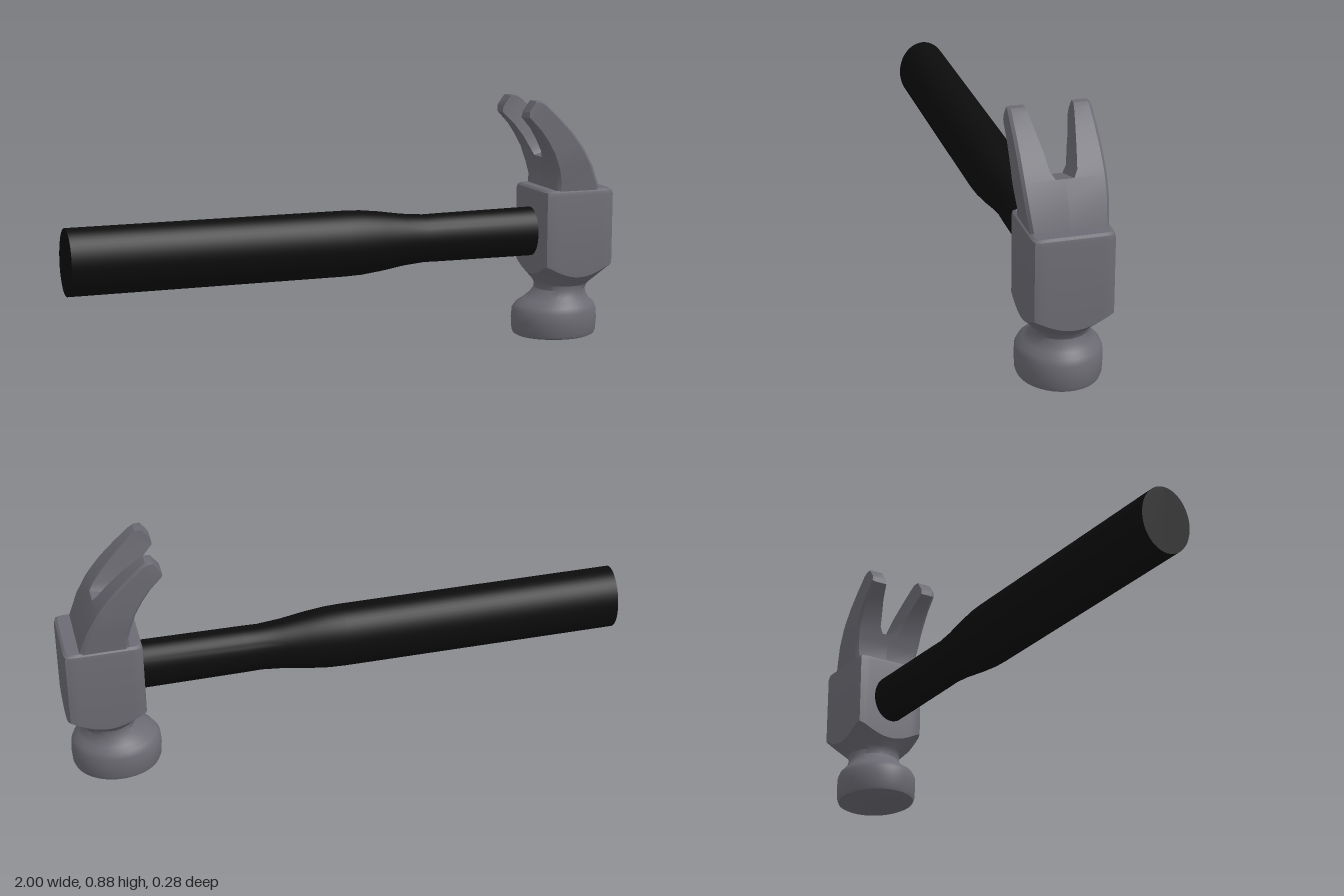
import * as THREE from 'three';
import { toCreasedNormals } from 'three/addons/utils/BufferGeometryUtils.js';

// Skin a list of rings (counterclockwise about the travel direction) and cap both ends
function loft(rings, crease) {
  const n = rings[0].length, index = [];
  const last = (rings.length - 1) * n;
  for (let i = 0; i < rings.length - 1; i++) {
    for (let k = 0; k < n; k++) {
      const a = i * n + k, b = i * n + (k + 1) % n;
      index.push(a, b, b + n, a, b + n, a + n);
    }
  }
  for (let k = 1; k < n - 1; k++) {
    index.push(0, k + 1, k, last, last + k, last + k + 1);
  }
  const g = new THREE.BufferGeometry();
  g.setAttribute('position', new THREE.Float32BufferAttribute(rings.flat(2), 3));
  g.setIndex(index);
  return toCreasedNormals(g, crease);
}

// Sample a closed ring by angle
const ring = (n, f) => Array.from({ length: n }, (_, k) => {
  const a = k / n * Math.PI * 2;
  return f(Math.cos(a), Math.sin(a));
});

export function createModel() {
  const group = new THREE.Group();
  const steel = new THREE.MeshStandardMaterial({ color: 0x6c6b73 });
  const grip = new THREE.MeshStandardMaterial({ color: 0x0c0c0c });
  const add = (name, geometry, material) => {
    const mesh = new THREE.Mesh(geometry, material);
    mesh.name = name;
    group.add(mesh);
  };

  // Handle: oval sections [x, half height, half depth]
  const sections = [
    [-1, 0.117, 0.093], [0, 0.117, 0.093], [0.06, 0.115, 0.091], [0.13, 0.107, 0.085],
    [0.22, 0.093, 0.074], [0.3, 0.086, 0.068], [0.36, 0.087, 0.069], [0.8, 0.09, 0.071],
  ];
  add('handle', loft(sections.map(([x, ry, rz]) =>
    ring(48, (c, s) => [x, 0.387 + ry * c, rz * s])), 0.6), grip);

  // Striking face and neck: round sections [y, centre x, radius x, radius z]
  const round = [
    [0, 0.825, 0.142, 0.125], [0.005, 0.825, 0.152, 0.135], [0.018, 0.825, 0.157, 0.14],
    [0.06, 0.825, 0.16, 0.142], [0.095, 0.825, 0.157, 0.141], [0.115, 0.828, 0.146, 0.133],
    [0.132, 0.833, 0.123, 0.115], [0.15, 0.84, 0.104, 0.103], [0.172, 0.846, 0.093, 0.095],
    [0.19, 0.85, 0.097, 0.097], [0.203, 0.854, 0.108, 0.108],
  ];
  const headRings = round.map(([y, cx, rx, rz]) =>
    ring(64, (c, s) => [cx + rx * s, y, rz * c]));

  // Square block with rounded corners, cut by a cone at its lower end
  const square = (half, height) => ring(64, (c, s) => {
    const r = half / Math.pow(Math.abs(c) ** 16 + Math.abs(s) ** 16, 1 / 16);
    return [0.86 + r * s, height(r), r * c];
  });
  headRings.push(
    square(0.136, r => 0.23 + 0.9 * (r - 0.136)),
    square(0.136, () => 0.53),
    square(0.133, () => 0.543),
    square(0.124, () => 0.55),
  );
  add('head', loft(headRings, 0.55), steel);

  // Claw: [outer x, outer y, inner x, inner y, slot half width, claw half width]
  const claw = [
    [0.948, 0.52, 0.765, 0.52, 0, 0.126], [0.938, 0.555, 0.772, 0.58, 0, 0.129],
    [0.907, 0.635, 0.762, 0.627, 0, 0.136], [0.873, 0.695, 0.75, 0.662, 0, 0.139],
    [0.873, 0.695, 0.75, 0.662, 0.03, 0.139], [0.858, 0.717, 0.742, 0.685, 0.044, 0.139],
    [0.82, 0.765, 0.717, 0.73, 0.053, 0.139], [0.768, 0.818, 0.688, 0.772, 0.065, 0.138],
    [0.716, 0.866, 0.652, 0.81, 0.076, 0.137], [0.7, 0.876, 0.645, 0.817, 0.078, 0.136],
    [0.677, 0.877, 0.648, 0.838, 0.08, 0.134],
  ];
  for (const side of [1, -1]) {
    const rings = claw.map(([ox, oy, ix, iy, s, w]) => {
      const bevel = 0.01;
      const corners = [[s, 0], [w - bevel, 0], [w, 0.08], [w, 0.92], [w - bevel, 1], [s, 1]];
      const points = corners.map(([z, u]) =>
        [ix + (ox - ix) * u, iy + (oy - iy) * u, z * side]);
      return side > 0 ? points : points.reverse();
    });
    add(side > 0 ? 'frontClaw' : 'backClaw', loft(rings, 0.5), steel);
  }
  return group;
}
